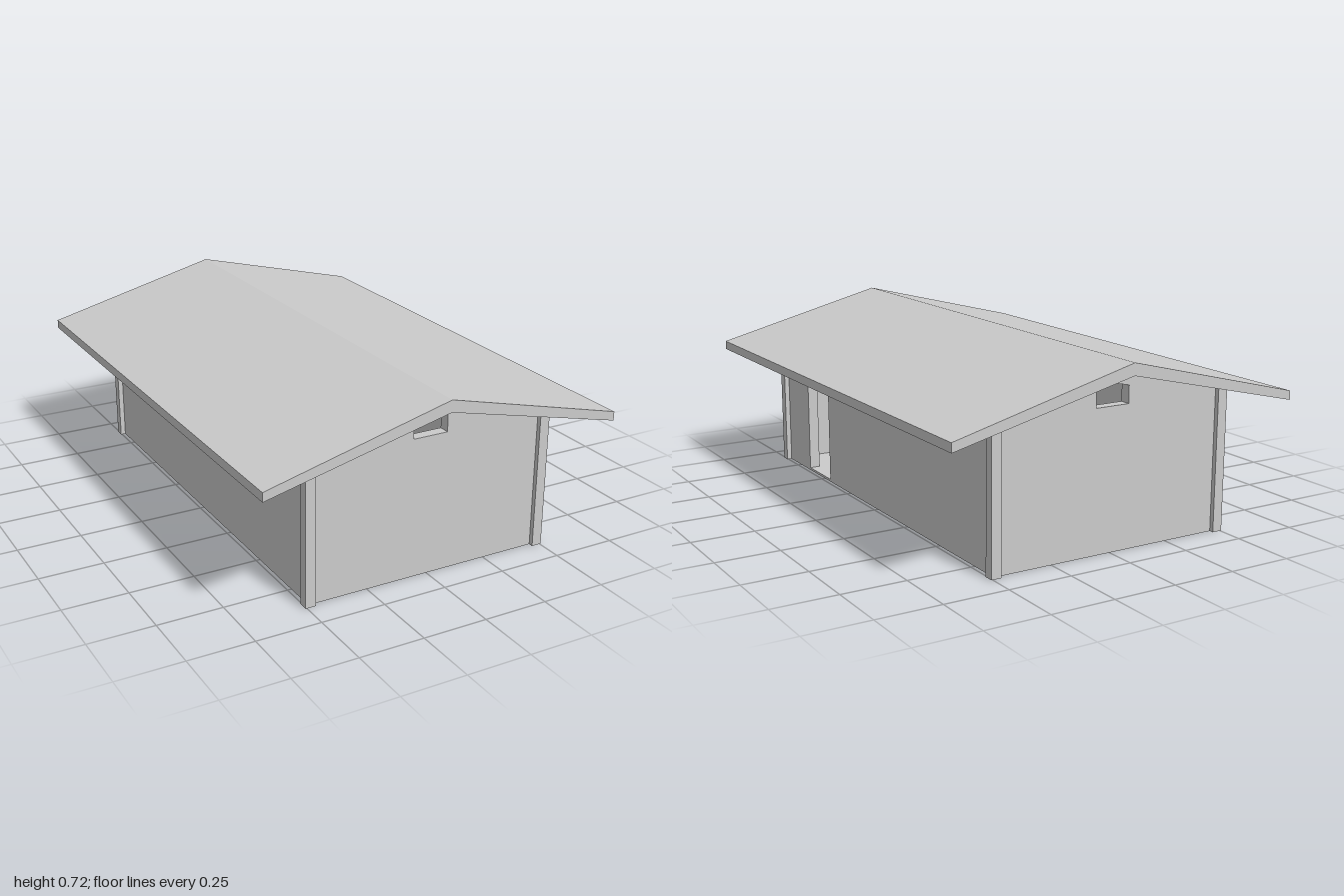
import * as THREE from 'three';

const X = 0.485, Z = 0.877;      // outer wall faces
const T = 0.043;                 // wall thickness
const FLOOR = 0.01;
const under = x => 0.67 - 0.238 * Math.abs(x); // underside of the roof

const material = new THREE.MeshStandardMaterial({ color: 0xcccccc, flatShading: true });

const polygon = points => points.map(p => new THREE.Vector2(...p));

function extruded(name, outline, holes, depth) {
  const shape = new THREE.Shape(polygon(outline));
  for (const hole of holes) shape.holes.push(new THREE.Path(polygon(hole)));
  const geometry = new THREE.ExtrudeGeometry(shape, { depth, bevelEnabled: false });
  geometry.translate(0, 0, -depth / 2);
  const mesh = new THREE.Mesh(geometry, material);
  mesh.name = name;
  return mesh;
}

function box(name, w, h, d, x, y, z) {
  const mesh = new THREE.Mesh(new THREE.BoxGeometry(w, h, d), material);
  mesh.name = name;
  mesh.position.set(x, y, z);
  return mesh;
}

export function createModel() {
  const house = new THREE.Group();
  house.name = 'house';

  // Floor slab
  house.add(box('floor', 2 * X, FLOOR, 2 * Z, 0, FLOOR / 2, 0));

  // Gable walls with a small peaked vent
  const gx = X - T, vent = 0.07;
  for (const side of [1, -1]) {
    const wall = extruded(side > 0 ? 'frontWall' : 'backWall',
      [[-gx, FLOOR], [gx, FLOOR], [gx, under(gx) + 0.005], [0, under(0) + 0.005], [-gx, under(gx) + 0.005]],
      [[[-vent, 0.54], [-vent, 0.607], [0, 0.622], [vent, 0.607], [vent, 0.54]]], T);
    wall.position.z = side * (Z - T / 2);
    house.add(wall);
  }

  // Side walls with a vent under the eaves; the +x one has the doorway
  const top = under(X) + 0.01;
  for (const side of [1, -1]) {
    // profile u runs along -z
    const door = side > 0
      ? [[-0.65, FLOOR], [-0.65, 0.415], [-0.445, 0.415], [-0.445, FLOOR]] : [];
    const wall = extruded(side > 0 ? 'leftWall' : 'rightWall',
      [[-Z, FLOOR], ...door, [Z, FLOOR], [Z, top], [-Z, top]],
      [[[-0.12, 0.48], [-0.12, 0.54], [0.12, 0.54], [0.12, 0.48]]], T);
    wall.rotation.y = Math.PI / 2;
    wall.position.x = side * (X - T / 2);
    house.add(wall);
  }

  // Corner posts
  for (const sx of [1, -1]) for (const sz of [1, -1]) {
    house.add(box('cornerPost', 0.04, 0.565, 0.037, sx * 0.485, 0.2825, sz * 0.8765));
  }

  // Pitched roof slab
  house.add(extruded('roof',
    [[-0.717, 0.5], [0, 0.67], [0.717, 0.5], [0.717, 0.535], [0, 0.716], [-0.717, 0.535]], [], 2));

  return house;
}
